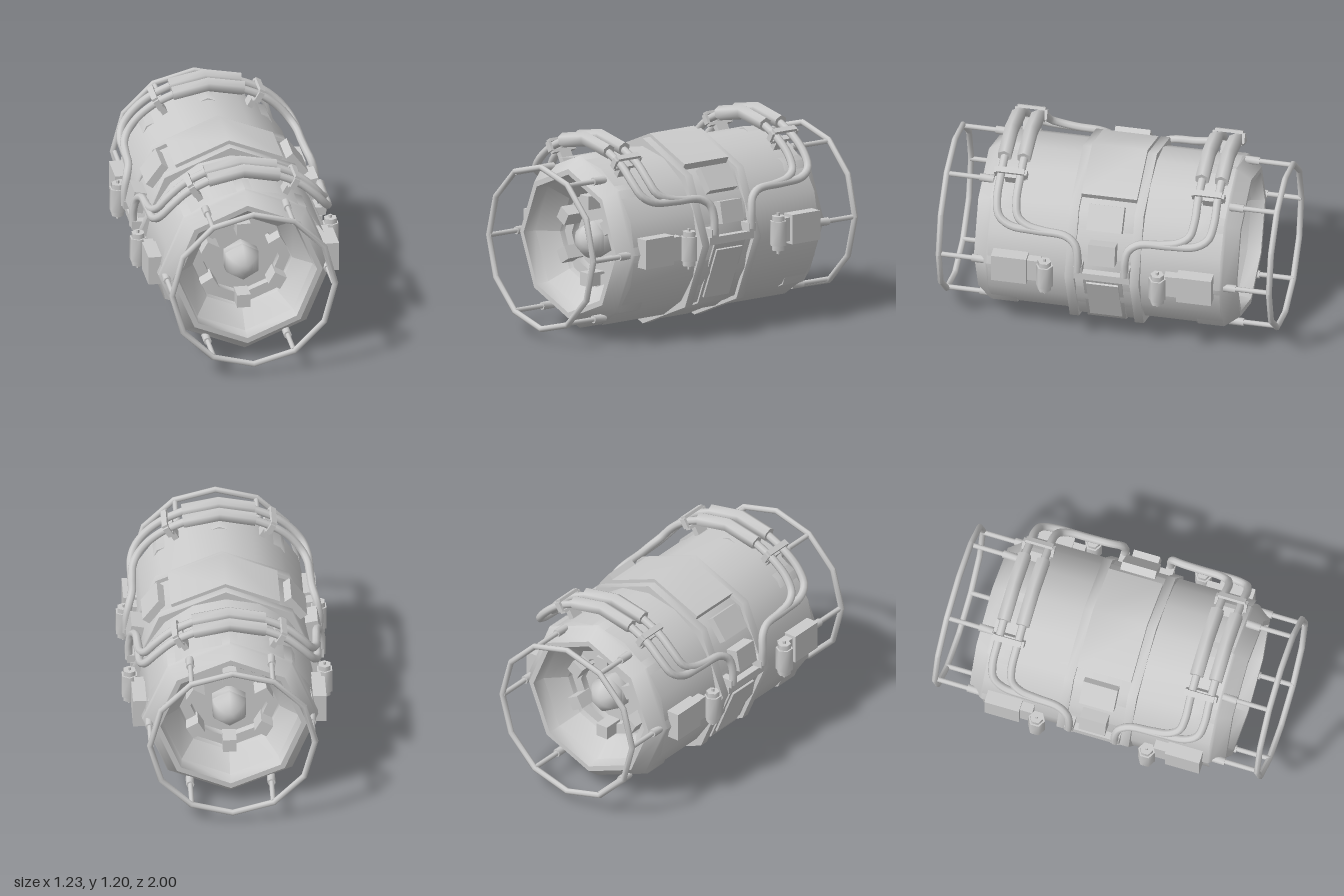
import * as THREE from 'three';
import { toCreasedNormals } from 'three/addons/utils/BufferGeometryUtils.js';

const CY = 0.555; // height of the barrel axis
const mat = new THREE.MeshStandardMaterial({ color: 0xcccccc });
const V = (x, y, z) => new THREE.Vector3(x, y, z);

function add(parent, name, geo, crease = 0.6) {
  const mesh = new THREE.Mesh(toCreasedNormals(geo, crease), mat);
  mesh.name = name;
  parent.add(mesh);
  return mesh;
}

// Box in the axis-centred frame, turned about z
function box(parent, name, w, h, d, x, y, z, turn = 0) {
  const m = add(parent, name, new THREE.BoxGeometry(w, h, d));
  m.position.set(x, y, z);
  m.rotation.z = turn;
  return m;
}

// Solid of revolution about z, profile given as [radius, z]
function lathe(parent, name, profile, sides, crease = 0.82) {
  const geo = new THREE.LatheGeometry(profile.map(p => new THREE.Vector2(...p)), sides);
  return add(parent, name, geo.rotateX(Math.PI / 2), crease);
}

function rod(parent, name, a, b, r, sides = 8) {
  const geo = new THREE.CylinderGeometry(r, r, a.distanceTo(b), sides);
  const m = add(parent, name, geo, 1.2);
  m.position.copy(a).lerp(b, 0.5);
  m.quaternion.setFromUnitVectors(V(0, 1, 0), b.clone().sub(a).normalize());
  return m;
}

// Curved strip following octagon corners, extruded along z
function strip(parent, name, outer, inner, depth) {
  const shape = new THREE.Shape([...outer, ...inner.reverse()].map(p => new THREE.Vector2(...p)));
  const geo = new THREE.ExtrudeGeometry(shape, { depth, bevelEnabled: false });
  return add(parent, name, geo.translate(0, 0, -depth / 2), 0.82);
}

// Six-sided padded grip bent at its middle, with closed ends
function grip(parent, z) {
  const n = 6, r = 0.044, pos = [], idx = [];
  const rings = [[-0.21, 0.565, 0], [-0.21, 0.565, r], [0, 0.607, r], [0.21, 0.565, r], [0.21, 0.565, 0]];
  rings.forEach(([x, y, rad]) => {
    const lean = Math.sign(x) * 0.2;
    for (let i = 0; i < n; i++) {
      const a = i / n * Math.PI * 2, c = Math.cos(a) * rad;
      pos.push(x + c * Math.sin(lean), y + c * Math.cos(lean), z + Math.sin(a) * rad);
    }
  });
  for (let j = 0; j < rings.length - 1; j++) for (let i = 0; i < n; i++) {
    const a = j * n + i, b = j * n + (i + 1) % n;
    idx.push(a, b, a + n, b, b + n, a + n);
  }
  const geo = new THREE.BufferGeometry();
  geo.setAttribute('position', new THREE.Float32BufferAttribute(pos, 3));
  geo.setIndex(idx);
  add(parent, 'grip', geo, 1.2);
}

// Everything on one end of the barrel (+z side)
function makeEnd() {
  const end = new THREE.Group();
  lathe(end, 'collar', [[0.48, 0.535], [0.515, 0.535], [0.515, 0.69], [0.505, 0.705], [0.445, 0.78], [0.412, 0.78]], 8);
  lathe(end, 'recess', [[0.412, 0.78], [0.40, 0.70], [0.297, 0.60], [0.29, 0.57], [0.225, 0.57], [0.22, 0.53], [0, 0.53]], 8);

  // Core dome ringed by six lugs
  const dome = new THREE.SphereGeometry(0.112, 6, 8, 0, Math.PI * 2, 0, Math.PI / 2);
  dome.rotateX(Math.PI / 2).rotateZ(Math.PI / 6);
  add(end, 'coreDome', dome, 1.2).position.z = 0.59;
  lathe(end, 'coreBase', [[0.112, 0.52], [0.112, 0.59]], 6, 1.2);
  for (let i = 0; i < 6; i++) {
    const a = Math.PI / 2 + i * Math.PI / 3;
    box(end, 'coreLug', 0.08, 0.08, 0.12, Math.cos(a) * 0.23, Math.sin(a) * 0.23, 0.6, a);
  }

  // Guard cage: twelve-sided hoop on six struts
  const hoop = new THREE.TorusGeometry(0.483, 0.018, 8, 12);
  add(end, 'guardHoop', hoop, 0.9).position.z = 0.982;
  for (let i = 0; i < 6; i++) {
    const a = i * Math.PI / 3, x = Math.cos(a) * 0.475, y = Math.sin(a) * 0.475;
    rod(end, 'guardStrut', V(x, y, 0.7), V(x, y, 0.985), 0.015);
    rod(end, 'strutSocket', V(x, y, 0.7), V(x, y, 0.785), 0.024);
  }

  // Padded carry handles
  [0.53, 0.645].forEach(z => grip(end, z));

  for (const s of [1, -1]) {
    // Pipes sweep down from the grips and run towards the middle band
    const pipes = [
      [[0.18, 0.572, 0.645], [0.33, 0.50, 0.645], [0.43, 0.415, 0.645], [0.49, 0.342, 0.622],
        [0.517, 0.3, 0.55], [0.522, 0.287, 0.4]],
      [[0.18, 0.572, 0.53], [0.33, 0.50, 0.53], [0.43, 0.415, 0.53], [0.485, 0.345, 0.51],
        [0.512, 0.31, 0.45], [0.52, 0.29, 0.35]],
    ];
    const tail = [[0.528, 0.278, 0.22], [0.547, 0.24, 0.16], [0.563, 0.16, 0.14], [0.563, 0.06, 0.14]];
    pipes.forEach(p => {
      const curve = new THREE.CatmullRomCurve3([...p, ...tail].map(q => V(s * q[0], q[1], q[2])));
      add(end, 'handlePipe', new THREE.TubeGeometry(curve, 36, 0.024, 8), 1);
    });
    box(end, 'pipeFoot', 0.08, 0.05, 0.05, s * 0.535, 0.07, 0.14);

    // Clamp looped round both pipes, standing on a post
    const clamp = new THREE.Group();
    clamp.name = 'pipeClamp';
    clamp.position.set(s * 0.3, 0.515, 0.5875);
    clamp.rotation.z = -s * 0.53;
    for (const k of [1, -1]) {
      box(clamp, 'clampBar', 0.035, 0.018, 0.165, 0, k * 0.035, 0);
      box(clamp, 'clampSide', 0.035, 0.06, 0.018, 0, 0, k * 0.088);
    }
    box(clamp, 'clampPost', 0.035, 0.08, 0.08, 0, -0.07, 0);
    end.add(clamp);

    // Side box with a small canister
    box(end, 'sideBox', 0.12, 0.175, 0.21, s * 0.505, 0.01, 0.55);
    box(end, 'canisterBracket', 0.08, 0.14, 0.10, s * 0.505, 0.01, 0.42);
    const x = s * 0.57;
    rod(end, 'canister', V(x, -0.065, 0.335), V(x, 0.08, 0.335), 0.051, 6);
    for (const [a, b, r] of [[-0.095, 0.11, 0.04], [-0.118, 0.128, 0.01]])
      rod(end, 'canisterCap', V(x, a, 0.335), V(x, b, 0.335), r, 6);
  }
  return end;
}

export function createModel() {
  const model = new THREE.Group();
  const body = new THREE.Group();
  body.name = 'barrel';
  body.position.y = CY;
  model.add(body);

  lathe(body, 'barrelShell', [[0.505, -0.69], [0.505, 0.69]], 16);

  // Middle band between two raised flanges
  lathe(body, 'middleBand', [[0.528, -0.18], [0.528, 0.18]], 8);
  for (const s of [1, -1]) {
    const z = s * 0.193;
    lathe(body, 'bandFlange', [[0.48, z - 0.027], [0.553, z - 0.027], [0.553, z + 0.027], [0.48, z + 0.027]], 8);
  }

  // Belt round the lower half, and the saddle plate over the top
  const arc = r => [0, 1, 2, 3, 4].map(i => {
    const a = Math.PI * (1 + i / 4);
    return [Math.cos(a) * r, Math.sin(a) * r];
  });
  strip(body, 'lowerBelt', arc(0.54), arc(0.48), 0.23);
  strip(body, 'saddlePlate', [[0.32, 0.443], [0, 0.575], [-0.32, 0.443]],
    [[0.295, 0.395], [0, 0.50], [-0.295, 0.395]], 0.33);

  for (const s of [1, -1]) {
    box(body, 'upperPad', 0.05, 0.155, 0.21, s * 0.415, 0.352, 0, s * 0.64);
    box(body, 'sidePad', 0.075, 0.13, 0.16, s * 0.52, 0.175, 0, s * 0.2);
    box(body, 'beltBar', 0.06, 0.045, 0.33, s * 0.525, 0.02, 0);
    box(body, 'beltPanel', 0.04, 0.33, 0.19, s * 0.454, -0.188, 0, -s * Math.PI / 8);
  }

  // Matching front and back ends
  const front = makeEnd();
  front.name = 'frontEnd';
  const back = makeEnd();
  back.name = 'backEnd';
  back.rotation.y = Math.PI;
  body.add(front, back);
  return model;
}
